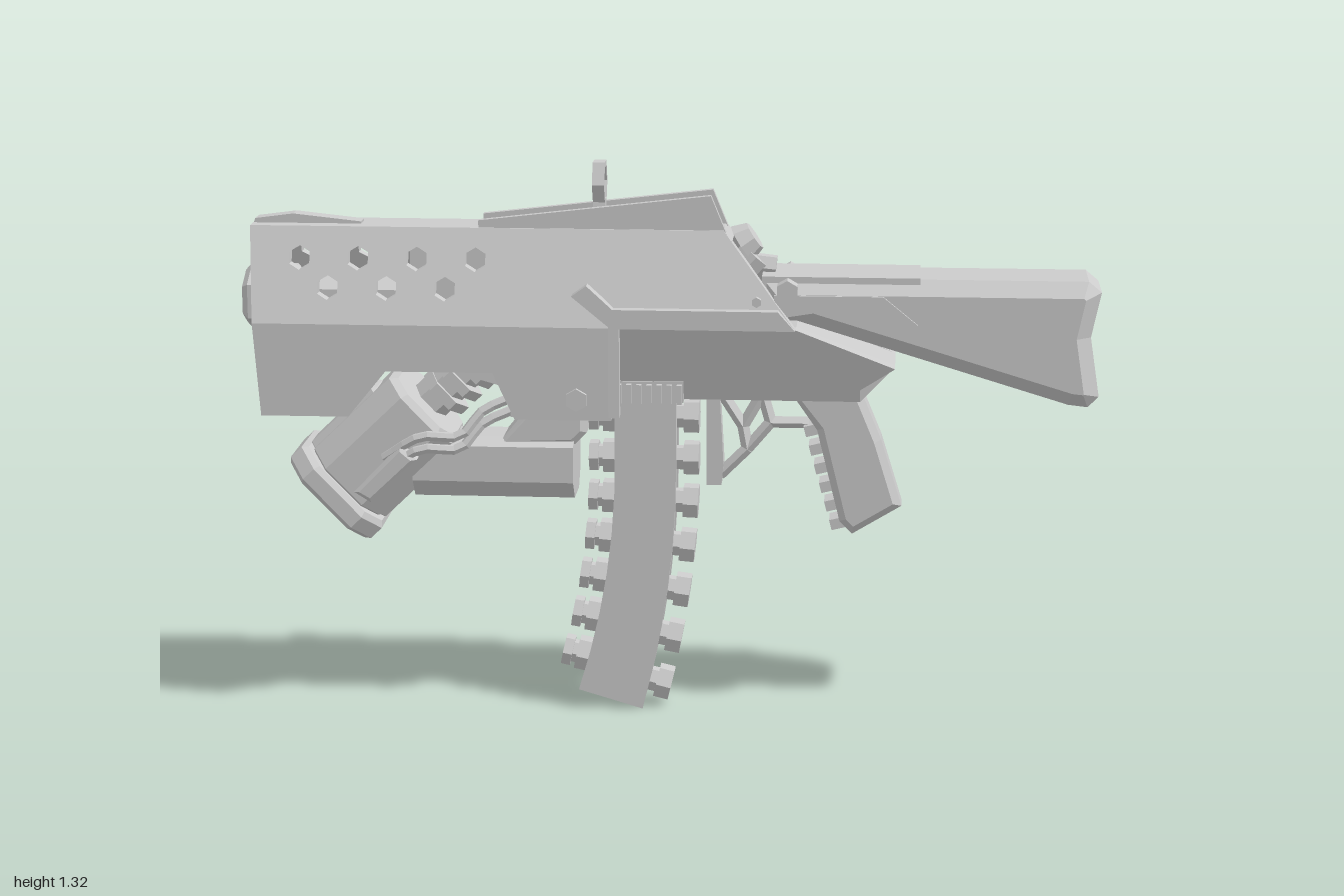
import * as THREE from 'three';

const mat = new THREE.MeshStandardMaterial({ color: 0xcccccc, flatShading: true, side: THREE.DoubleSide });
const V = (x, y, z = 0) => new THREE.Vector3(x, y, z);
const hexPoints = (x, y, r) =>
  Array.from({ length: 6 }, (_, i) => [x + r * Math.sin(i * Math.PI / 3), y + r * Math.cos(i * Math.PI / 3)]);

export function createModel() {
  const root = new THREE.Group();

  function add(name, geo, parent = root) {
    const m = new THREE.Mesh(geo, mat);
    m.name = name;
    parent.add(m);
    return m;
  }
  // Outline in x/y, extruded from z0 to z1 with an optional inward bevel
  function slab(pts, z0, z1, bevel = 0, holes = []) {
    const shape = new THREE.Shape(pts.map(p => new THREE.Vector2(...p)));
    for (const h of holes) shape.holes.push(new THREE.Path(h.map(p => new THREE.Vector2(...p))));
    return new THREE.ExtrudeGeometry(shape, {
      depth: z1 - z0 - 2 * bevel, bevelEnabled: bevel > 0, bevelSize: bevel, bevelThickness: bevel,
      bevelOffset: -bevel, bevelSegments: 1,
    }).translate(0, 0, z0 + bevel);
  }
  // The same outline on both sides, with z following a lean rule of y
  function sides(name, pts, thick, lean, holes = []) {
    for (const s of [1, -1]) {
      const g = slab(pts, s > 0 ? -thick : 0, s > 0 ? 0 : thick, 0, holes);
      const p = g.attributes.position;
      for (let i = 0; i < p.count; i++) p.setZ(i, p.getZ(i) + s * lean(p.getY(i)));
      g.computeVertexNormals();
      add((s > 0 ? 'front' : 'rear') + name, g);
    }
  }
  // Straight bar or rod between two points
  function bar(name, a, b, r, n = 4, r2 = r) {
    const d = b.clone().sub(a);
    const m = add(name, new THREE.CylinderGeometry(r2, r, d.length(), n));
    m.position.copy(a).add(b).multiplyScalar(0.5);
    m.quaternion.setFromUnitVectors(V(0, 1), d.normalize());
    return m;
  }

  // Shroud: leaning upper walls with hexagonal vents, upright lower walls
  const upperLean = y => 0.15 - 0.09 * (y - 0.95) / 0.215;
  const vents = [];
  for (let i = 0; i < 7; i++) vents.push(hexPoints(-0.855 + i * 0.0685, i % 2 ? 1.03 : 1.095, 0.027));
  sides('UpperShroud', [[-0.96, 0.95], [0.3, 0.95], [0.13, 1.165], [-0.975, 1.165]], 0.03, upperLean, vents);
  sides('LowerShroud', [[-0.945, 0.73], [-0.74, 0.73], [-0.65, 0.84], [-0.4, 0.84], [-0.35, 0.73],
    [-0.125, 0.73], [-0.125, 0.95], [-0.96, 0.95]], 0.03, y => 0.145 + 0.005 * (y - 0.73) / 0.22);
  add('shroudTop', slab([[-0.975, 1.165], [-0.973, 1.14], [0.15, 1.14], [0.13, 1.165]], -0.06, 0.06));
  add('shroudFloor', new THREE.BoxGeometry(0.24, 0.04, 0.28)).position.set(-0.24, 0.755, 0);
  add('core', slab([[-0.6, 0.85], [-0.6, 1.13], [0.12, 1.13], [0.27, 0.95], [0.27, 0.8], [-0.35, 0.78]], -0.065, 0.065));

  // Lower receiver, tapering towards its base
  sides('LowerReceiver', [[-0.125, 0.77], [0.45, 0.77], [0.45, 0.8], [0.53, 0.855], [0.3, 0.95], [-0.125, 0.95]],
    0.04, y => 0.08 + 0.06 * (y - 0.77) / 0.18);
  add('receiverFloor', slab([[-0.125, 0.77], [0.45, 0.77], [0.53, 0.855], [0.3, 0.94], [-0.125, 0.9]], -0.08, 0.08));

  // Raised side frame, bolts and ribbed magazine catch
  for (const s of [1, -1]) {
    const z = (a, b) => s > 0 ? [a, b] : [-b, -a];
    add('sideFrame', slab([[-0.215, 1.025], [-0.18, 1.05], [-0.12, 0.995], [0.18, 0.995], [0.26, 0.995],
      [0.3, 0.95], [-0.105, 0.95], [-0.105, 0.74], [-0.13, 0.74], [-0.13, 0.955]], ...z(0.125, 0.158)));
    add('frameBolt', slab(hexPoints(-0.205, 0.78, 0.027), ...z(0.14, 0.157)));
    add('rearBolt', slab(hexPoints(0.28, 1.035, 0.027), ...z(0.07, 0.125)));
    add('smallBolt', slab(hexPoints(0.21, 1.012, 0.012), ...z(0.1, 0.135)));
    add('catchPlate', slab([[-0.12, 0.765], [0.04, 0.765], [0.04, 0.815], [-0.12, 0.815]], ...z(0.06, 0.1)));
    for (let i = 0; i < 7; i++) {
      add('catchRib', new THREE.BoxGeometry(0.012, 0.045, 0.02)).position.set(-0.11 + i * 0.0235, 0.787, s * 0.105);
    }
    // Long sight fins
    add('sightFin', slab([[-0.44, 1.15], [-0.44, 1.182], [0.1, 1.245], [0.135, 1.16], [0.135, 1.13]], ...z(0.038, 0.056)));
  }

  // Sights
  add('frontSightRidge', slab([[-0.975, 1.16], [-0.97, 1.175], [-0.88, 1.187], [-0.72, 1.17], [-0.72, 1.16]], -0.022, 0.022));
  const ring = [[0, 1.315, 1], [0.045, 1.265, 1], [0.025, 1.215, 1]];
  const ringOuter = [[-0.023, 1.315], [0.023, 1.315], [0.046, 1.265], [0.022, 1.222], [0.034, 1.15], [-0.034, 1.15], [-0.022, 1.222], [-0.046, 1.265]];
  const ringHole = [[-0.016, 1.302], [0.016, 1.302], [0.034, 1.265], [0.014, 1.228], [-0.014, 1.228], [-0.034, 1.265]];
  add('ringSight', slab(ringOuter, -0.014, 0.014, 0, [ringHole]).rotateY(Math.PI / 2).translate(-0.162, 0, 0));

  // Barrel with a hollow mouth
  add('barrel', slab(hexPoints(0, 0.985, 0.055), -0.92, -0.4).rotateY(Math.PI / 2));
  add('muzzle', slab(hexPoints(0, 0.985, 0.08), -1, -0.86, 0.015, [hexPoints(0, 0.985, 0.035)]).rotateY(Math.PI / 2));

  // Rear charging knob
  bar('knobStem', V(0.14, 1.03), V(0.205, 1.1), 0.042, 8);
  bar('knobCap', V(0.17, 1.125), V(0.2, 1.145), 0.048, 8, 0.035);
  bar('knobPin', V(0.16, 1.08), V(0.25, 1.07), 0.03, 6);

  // Shoulder stock with side panels
  add('stock', slab([[0.22, 1.06], [0.97, 1.06], [1, 1.035], [0.978, 0.93], [1, 0.79], [0.975, 0.765],
    [0.93, 0.77], [0.3, 0.96], [0.22, 0.96]], -0.11, 0.108, 0.034));
  add('stockPanel', slab([[0.25, 0.97], [0.25, 1.025], [0.5, 1.025], [0.58, 0.96], [0.5, 0.945], [0.34, 0.985]], -0.117, 0.115));
  add('stockSleeve', slab([[0.22, 1.064], [0.585, 1.064], [0.585, 1.03], [0.22, 1.03]], -0.085, 0.085));

  // Pistol grip with finger ribs
  add('grip', slab([[0.28, 0.79], [0.45, 0.79], [0.5, 0.67], [0.55, 0.51], [0.435, 0.44], [0.405, 0.47], [0.35, 0.69]], -0.05, 0.05, 0.017));
  for (let i = 0; i < 6; i++) {
    const rib = add('gripRib', new THREE.BoxGeometry(0.045, 0.025, 0.066));
    rib.position.set(0.343 + i * 0.0125, 0.69 - i * 0.045, 0);
    rib.rotation.z = 0.25;
  }

  // Trigger and open guard
  add('guardPost', slab([[0.09, 0.78], [0.09, 0.55], [0.125, 0.55], [0.13, 0.6], [0.12, 0.78]], -0.025, 0.025));
  const struts = [[0.12, 0.57, 0.185, 0.635], [0.185, 0.635, 0.24, 0.7], [0.24, 0.7, 0.33, 0.7],
    [0.185, 0.635, 0.175, 0.69], [0.13, 0.76, 0.175, 0.69], [0.175, 0.69, 0.22, 0.77], [0.24, 0.7, 0.22, 0.77]];
  for (const [a, b, c, d] of struts) bar('guardStrut', V(a, b), V(c, d), 0.014);

  // Curved magazine: core between two cheek plates
  const bend = y => Math.max(0, (0.6 - y) / 0.56) ** 2;
  const leftX = y => -0.125 - 0.09 * bend(y), rightX = y => 0.02 - 0.07 * bend(y);
  function magazineOutline(inset) {
    const l = [], r = [];
    for (let i = 0; i <= 8; i++) {
      const t = i / 8, yl = 0.82 - 0.775 * t, yr = 0.82 - 0.82 * t;
      l.push([leftX(yl) + inset, yl - inset * 0.25 * t]);
      r.unshift([rightX(yr) - inset, yr + inset * 0.25 * t]);
    }
    return [...l, ...r];
  }
  add('magazineCore', slab(magazineOutline(0.022), -0.035, 0.035));
  add('magazineCheekFront', slab(magazineOutline(0), 0.03, 0.052));
  add('magazineCheekRear', slab(magazineOutline(0), -0.052, -0.03));

  // Hexagonal rounds on both edges of the magazine
  for (let i = 0; i < 7; i++) {
    const yl = 0.712 - i * 0.099, yr = 0.712 - i * 0.1 - 0.0014 * i * i;
    const row = (name, x, y, parts) => {
      const g = new THREE.Group();
      g.name = name;
      g.position.set(x, y, 0);
      g.rotation.z = -0.25 * Math.sqrt(bend(y));
      for (const [cx, len, r] of parts) {
        add('roundBody', new THREE.CylinderGeometry(r, r, len, 6).rotateZ(Math.PI / 2).translate(cx, 0, 0), g);
      }
      root.add(g);
    };
    row('leftRound', leftX(yl), yl, [[-0.005, 0.05, 0.042], [-0.035, 0.02, 0.028], [-0.052, 0.022, 0.038]]);
    row('rightRound', rightX(yr), yr, [[0, 0.05, 0.03], [0.034, 0.036, 0.042]]);
  }

  // Under-barrel block
  const block = [[-0.05, 0.52], [0.05, 0.52], [0.09, 0.565], [0.09, 0.65], [0.05, 0.665], [-0.05, 0.665], [-0.09, 0.65], [-0.09, 0.565]];
  add('underBlock', slab(block, -0.6, -0.22).rotateY(Math.PI / 2));
  add('blockMount', slab([[-0.4, 0.65], [-0.22, 0.65], [-0.19, 0.68], [-0.19, 0.76], [-0.31, 0.76]], -0.07, 0.07, 0.015));

  // Tilted foregrip: chamfered body, wide end cap and ribbed neck
  const dir = V(0.72, 0.69).normalize();
  const foregrip = new THREE.Group();
  foregrip.name = 'foregrip';
  foregrip.position.set(-0.805, 0.51, 0);
  foregrip.quaternion.setFromRotationMatrix(new THREE.Matrix4().makeBasis(V(0, 0, 1), V(dir.y, -dir.x), dir));
  root.add(foregrip);
  const chamfered = (w, h, c) => [[-w + c, -h], [w - c, -h], [w, -h + c], [w, h - c], [w - c, h], [-w + c, h], [-w, h - c], [-w, -h + c]];
  add('foregripCap', slab(chamfered(0.14, 0.135, 0.055), 0, 0.06, 0.012), foregrip);
  add('foregripBody', slab(chamfered(0.125, 0.11, 0.05), 0.05, 0.33, 0.015), foregrip);
  add('foregripSpine', slab(chamfered(0.06, 0.125, 0.02), 0.05, 0.27, 0.012), foregrip);
  add('foregripNeck', slab(hexPoints(0, 0, 0.05), 0.3, 0.54), foregrip);
  for (let i = 0; i < 4; i++) add('neckRing', slab(hexPoints(0, 0.01, 0.064), 0.36 + i * 0.045, 0.385 + i * 0.045), foregrip);

  // Cable pair from the foregrip to the shroud
  add('cableSocket', slab([[-0.73, 0.55], [-0.69, 0.525], [-0.58, 0.63], [-0.62, 0.665]], 0.1, 0.158, 0.01));
  for (const k of [0, 0.03]) {
    const path = new THREE.CatmullRomCurve3([V(-0.66, 0.6 + k, 0.135), V(-0.57, 0.655 + k, 0.145),
      V(-0.48, 0.655 + k, 0.13), V(-0.43, 0.71 + k, 0.11), V(-0.35, 0.745 + k, 0.09)]);
    add('cable', new THREE.TubeGeometry(path, 12, 0.012, 6));
  }
  return root;
}
